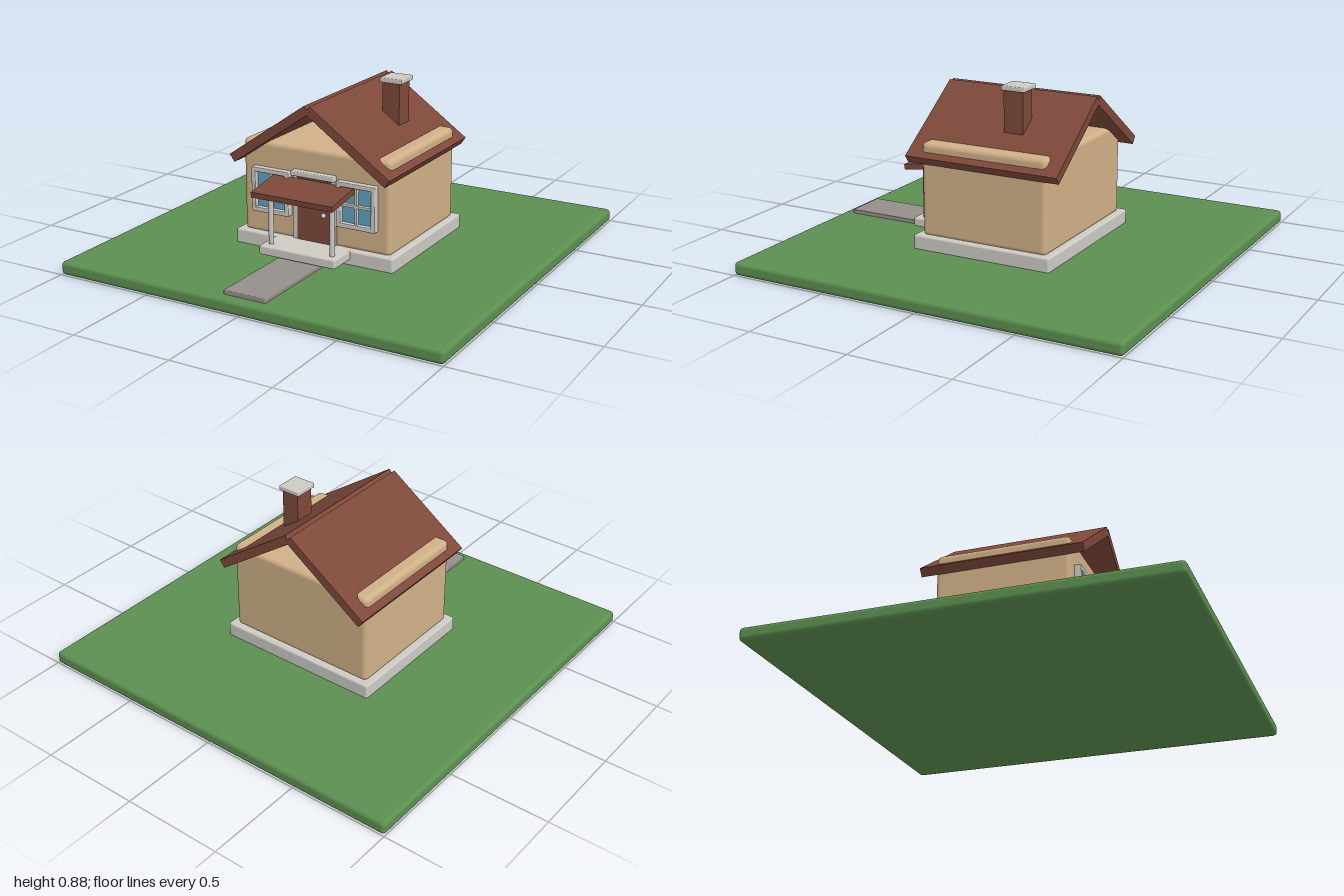
import * as THREE from 'three';
import { RoundedBoxGeometry } from 'three/addons/geometries/RoundedBoxGeometry.js';

function mat(name, color) {
  const m = new THREE.MeshStandardMaterial({ color });
  m.name = name;
  return m;
}

export function createModel() {
  const model = new THREE.Group();
  model.name = 'cottage';
  const grass = mat('grass green', 0x5c8f50);
  const wall = mat('wall tan', 0xd0b087);
  const roofing = mat('roof brown', 0x7d4839);
  const stone = mat('light stone', 0xcdcac4);
  const paving = mat('path grey', 0x948f89);
  const pane = mat('window blue', 0x5fa2c0);

  // Box given by its min and max corners; optional rounded edges
  function block(name, material, [x0, y0, z0], [x1, y1, z1], radius = 0, parent = model) {
    const size = [x1 - x0, y1 - y0, z1 - z0];
    const geo = radius ? new RoundedBoxGeometry(...size, 3, radius) : new THREE.BoxGeometry(...size);
    const mesh = new THREE.Mesh(geo, material);
    mesh.name = name;
    mesh.position.set((x0 + x1) / 2, (y0 + y1) / 2, (z0 + z1) / 2);
    parent.add(mesh);
    return mesh;
  }

  // Lawn, path, foundation and walls
  block('lawn', grass, [-1, 0, -1], [1, 0.066, 1], 0.02);
  block('path', paving, [-0.11, 0.06, 0.42], [0.11, 0.086, 0.945], 0.004);
  block('foundation', stone, [-0.43, 0.06, -0.365], [0.43, 0.136, 0.365], 0.01);
  block('walls', wall, [-0.4, 0.125, -0.333], [0.4, 0.592, 0.333], 0.025);

  // Two roof slabs meeting at the ridge
  for (const side of [-1, 1]) {
    const slab = block(side > 0 ? 'leftRoof' : 'rightRoof', roofing, [-0.254, -0.022, -0.403], [0.254, 0.022, 0.403]);
    slab.position.set(side * 0.21, 0.651, 0);
    slab.rotation.z = -side * 0.61;
  }

  // Chimney with cap
  block('chimney', roofing, [0.16, 0.622, -0.135], [0.25, 0.857, -0.033]);
  block('chimneyCap', stone, [0.146, 0.853, -0.147], [0.264, 0.877, -0.024], 0.005);

  // Porch: step, posts and sloping canopy
  block('porchStep', stone, [-0.205, 0.09, 0.3], [0.205, 0.136, 0.51], 0.008);
  for (const side of [-1, 1]) {
    const post = new THREE.Mesh(new THREE.CylinderGeometry(0.0125, 0.0125, 0.275, 16), stone);
    post.name = 'porchPost';
    post.position.set(side * 0.166, 0.2675, 0.461);
    model.add(post);
  }
  const canopy = block('porchCanopy', roofing, [-0.218, -0.014, -0.103], [0.218, 0.014, 0.103]);
  canopy.position.set(0, 0.411, 0.447);
  canopy.rotation.x = 0.15;

  // Door with casing and knob
  block('door', roofing, [-0.092, 0.136, 0.32], [0.092, 0.458, 0.345]);
  for (const side of [-1, 1]) {
    block('doorJamb', stone, [side * 0.104 - 0.013, 0.136, 0.32], [side * 0.104 + 0.013, 0.478, 0.342]);
  }
  block('doorLintel', stone, [-0.117, 0.454, 0.32], [0.117, 0.48, 0.366], 0.005);
  const knob = new THREE.Mesh(new THREE.SphereGeometry(0.012, 16, 12), stone);
  knob.name = 'doorKnob';
  knob.position.set(0.055, 0.278, 0.352);
  model.add(knob);

  // Front windows: pane, frame and glazing bars
  for (const side of [-1, 1]) {
    const win = new THREE.Group();
    win.name = side > 0 ? 'leftWindow' : 'rightWindow';
    win.position.set(side * 0.233, 0.354, 0);
    model.add(win);
    block('pane', pane, [-0.09, -0.1, 0.332], [0.09, 0.1, 0.341], 0, win);
    for (const s of [-1, 1]) {
      block('frameSide', stone, [s * 0.092 - 0.011, -0.111, 0.33], [s * 0.092 + 0.011, 0.111, 0.366], 0.004, win);
      block('frameRail', stone, [-0.103, s * 0.1 - 0.011, 0.33], [0.103, s * 0.1 + 0.011, 0.366], 0.004, win);
    }
    block('uprightBar', stone, [-0.006, -0.1, 0.335], [0.006, 0.1, 0.36], 0, win);
    block('crossBar', stone, [-0.09, -0.006, 0.335], [0.09, 0.006, 0.36], 0, win);
  }
  return model;
}
